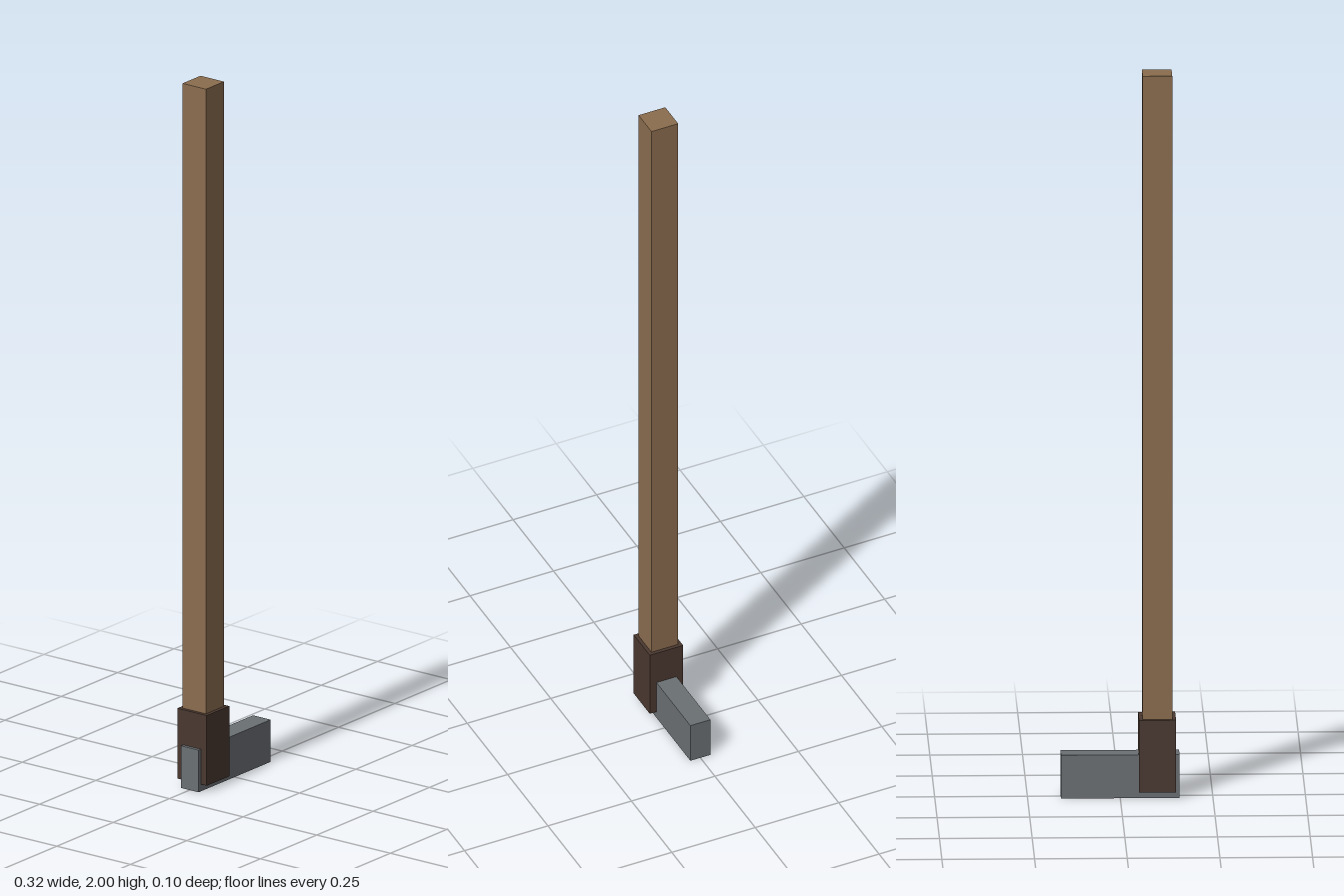
import * as THREE from 'three';

export function createModel() {
  const group = new THREE.Group();
  const material = (name, color) => {
    const m = new THREE.MeshStandardMaterial({ color });
    m.name = name;
    return m;
  };
  const wood = material('wood', 0x8b6d4f);
  const darkBinding = material('dark binding', 0x4a3830);
  const steel = material('steel', 0x6b7074);

  // Box given by its extents along x and y, centred on z = 0
  const block = (name, mat, x0, x1, y0, y1, depth) => {
    const mesh = new THREE.Mesh(new THREE.BoxGeometry(x1 - x0, y1 - y0, depth), mat);
    mesh.position.set((x0 + x1) / 2, (y0 + y1) / 2, 0);
    mesh.name = name;
    group.add(mesh);
  };

  // Long square handle, its lower end seated in the collar
  block('handle', wood, -0.14, -0.06, 0.1, 2, 0.08);
  // Collar joining the handle to the head
  block('collar', darkBinding, -0.15, -0.05, 0.02, 0.22, 0.1);
  // Flat metal head, reaching out to one side
  block('head', steel, -0.16, 0.16, 0, 0.12, 0.06);

  return group;
}
